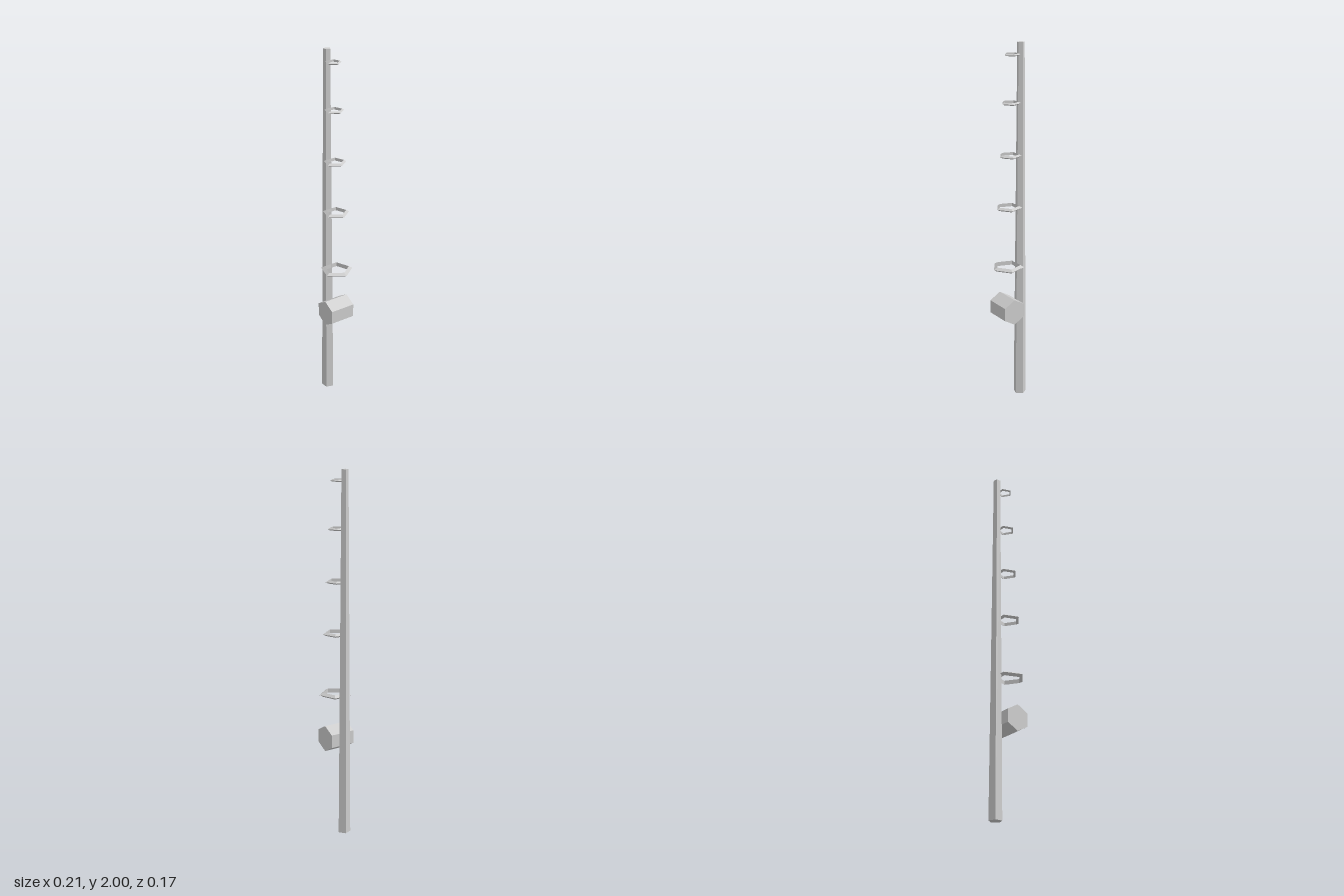
import * as THREE from 'three';

const material = new THREE.MeshStandardMaterial({ color: 0xcccccc, flatShading: true });

function addPart(group, name, geometry, x, y, z) {
  const mesh = new THREE.Mesh(geometry, material);
  mesh.name = name;
  mesh.position.set(x, y, z);
  group.add(mesh);
  return mesh;
}

export function createModel() {
  const group = new THREE.Group();
  group.name = 'fishingRod';

  // Tapered five-sided pole, flat face to the front
  const pole = new THREE.CylinderGeometry(0.02, 0.036, 2, 5).rotateY(Math.PI);
  addPart(group, 'pole', pole, -0.07, 1, 0);

  // Six-sided reel lying along z, with a corner at the top
  const reel = new THREE.CylinderGeometry(0.073, 0.073, 0.146, 6).rotateX(Math.PI / 2);
  addPart(group, 'reel', reel, 0.013, 0.538, 0.005);

  // Five-sided line guides, shrinking toward the tip: [height, outer radius, outer tip x]
  const guides = [
    [0.785, 0.09, 0.103],
    [1.125, 0.073, 0.08],
    [1.41, 0.062, 0.06],
    [1.69, 0.053, 0.045],
    [1.94, 0.044, 0.028],
  ];
  guides.forEach(([y, radius, tip], i) => {
    const tube = radius * 0.15;
    const ring = new THREE.TorusGeometry(radius - tube, tube, 3, 5).rotateX(Math.PI / 2);
    addPart(group, `lineGuide${i + 1}`, ring, tip - radius, y, 0);
  });

  return group;
}
